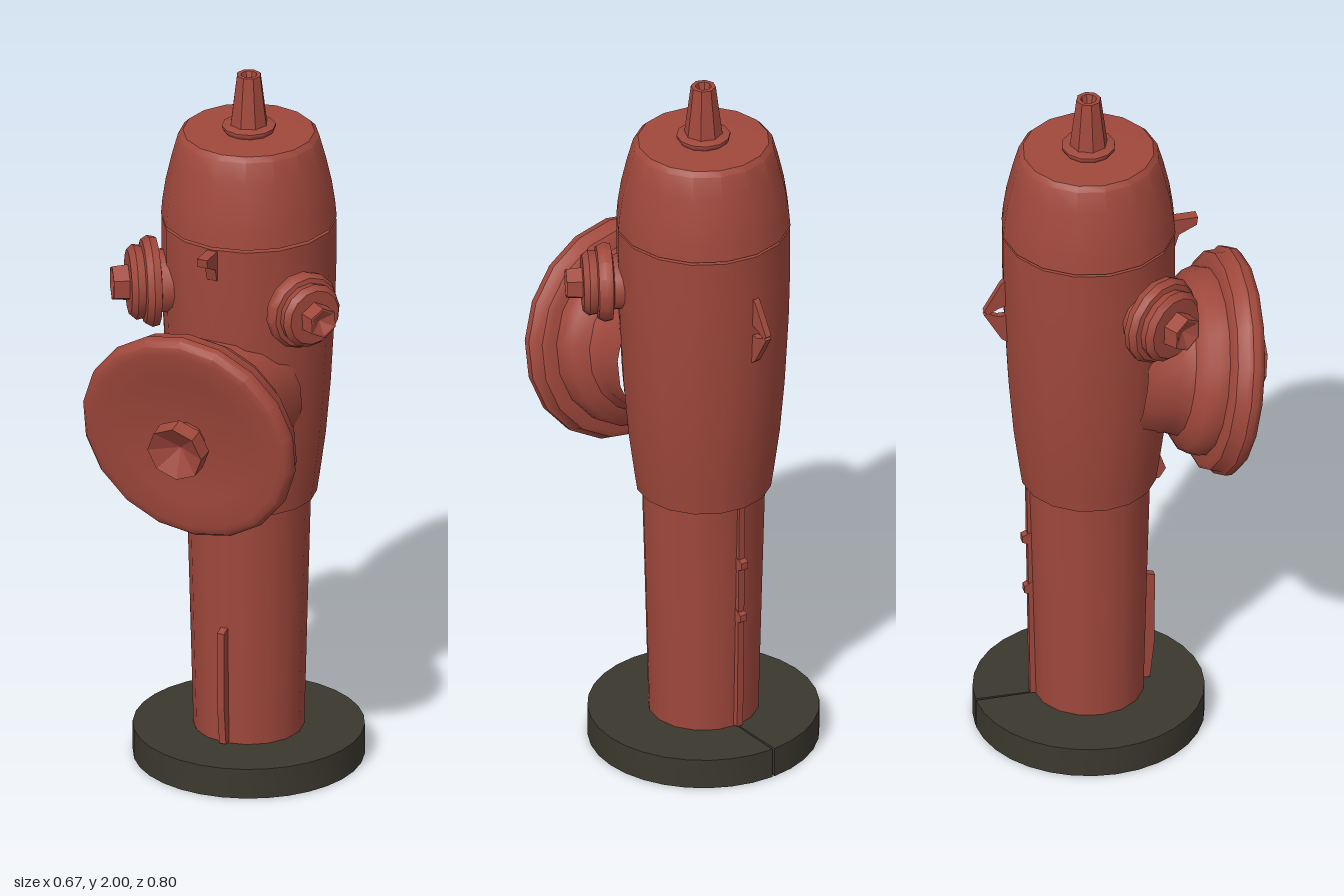
import * as THREE from 'three';
import { toCreasedNormals } from 'three/addons/utils/BufferGeometryUtils.js';

const AXIS_X = 0.008, AXIS_Z = -0.082;
const red = new THREE.MeshStandardMaterial({ color: 0xa0483c });
red.name = 'hydrant red';
const dark = new THREE.MeshStandardMaterial({ color: 0x3b382e });
dark.name = 'dark base';

// Turned part from [radius, height] pairs, listed from bottom to top
function turned(name, points, sides = 16, crease = 0.6) {
  const g = new THREE.LatheGeometry(points.map(([r, y]) => new THREE.Vector2(r, y)), sides);
  const mesh = new THREE.Mesh(toCreasedNormals(g, crease), red);
  mesh.name = name;
  return mesh;
}

// Thin plate drawn in the z-y plane, centred across x
function fin(name, points, width) {
  const shape = new THREE.Shape(points.map(([z, y]) => new THREE.Vector2(-z, y)));
  const g = new THREE.ExtrudeGeometry(shape, { depth: width, bevelEnabled: false });
  g.translate(0, 0, -width / 2);
  g.rotateY(Math.PI / 2);
  const mesh = new THREE.Mesh(g, red);
  mesh.name = name;
  mesh.position.x = AXIS_X;
  return mesh;
}

// Aim a part's own y axis along a direction
function aim(object, x, y, z) {
  object.quaternion.setFromUnitVectors(new THREE.Vector3(0, 1, 0), new THREE.Vector3(x, y, z).normalize());
  return object;
}

// Half of the base ring; the two halves almost meet at the back
function baseHalf(side) {
  const a = -Math.PI / 2, b = Math.PI / 2 - 0.012;
  const shape = new THREE.Shape();
  shape.absarc(0, 0, 0.313, a, b, false);
  shape.absarc(0, 0, 0.145, b, a, true);
  const g = new THREE.ExtrudeGeometry(shape, { depth: 0.086, curveSegments: 8, bevelEnabled: false });
  g.rotateX(-Math.PI / 2);
  if (side < 0) {
    // Mirror by moving the vertices, then swap corners to keep faces outward
    const p = g.attributes.position;
    for (let i = 0; i < p.count; i++) p.setX(i, -p.getX(i));
    for (let i = 0; i < p.count; i += 3) {
      const v = new THREE.Vector3().fromBufferAttribute(p, i + 1);
      p.setXYZ(i + 1, p.getX(i + 2), p.getY(i + 2), p.getZ(i + 2));
      p.setXYZ(i + 2, v.x, v.y, v.z);
    }
  }
  const mesh = new THREE.Mesh(toCreasedNormals(g, 0.6), dark);
  mesh.name = side > 0 ? 'leftBaseHalf' : 'rightBaseHalf';
  return mesh;
}

// Side outlet with ridged cap and hollowed nut
function sideOutlet(name, side, size) {
  const outlet = new THREE.Group();
  outlet.name = name;
  const s = size;
  outlet.add(
    turned('outletCap', [
      [0.085 * s, 0.17], [0.08 * s, 0.245], [0.112 * s, 0.25], [0.116 * s, 0.27], [0.106 * s, 0.288],
      [0.092 * s, 0.291], [0.096 * s, 0.312], [0.082 * s, 0.328], [0, 0.33],
    ], 14, 0.7),
    turned('outletNut', [[0.05 * s, 0.325], [0.046 * s, 0.372], [0.04 * s, 0.372], [0, 0.35]], 6, 0.2),
  );
  outlet.position.set(AXIS_X, 1.405, AXIS_Z);
  return aim(outlet, 0.845 * side, 0, 0.535);
}

export function createModel() {
  const model = new THREE.Group();
  model.name = 'hydrant';

  // Everything turned around the upright axis
  const column = new THREE.Group();
  column.name = 'column';
  column.position.set(AXIS_X, 0, AXIS_Z);
  column.add(
    baseHalf(1), baseHalf(-1),
    turned('post', [[0, 0.04], [0.148, 0.04], [0.15, 0.09], [0.159, 0.45], [0.168, 0.78]]),
    turned('barrel', [
      [0.16, 0.765], [0.184, 0.775], [0.192, 0.83], [0.208, 0.95], [0.221, 1.1],
      [0.232, 1.3], [0.236, 1.45], [0.236, 1.577], [0, 1.577],
    ]),
    turned('bonnet', [
      [0, 1.585], [0.237, 1.585], [0.233, 1.63], [0.224, 1.69], [0.208, 1.76],
      [0.191, 1.822], [0.178, 1.835], [0, 1.837],
    ]),
    turned('topFlange', [[0.066, 1.834], [0.073, 1.845], [0.073, 1.852], [0.05, 1.858], [0, 1.858]], 12),
    turned('topSpindle', [[0.053, 1.85], [0.034, 2], [0.022, 2], [0.014, 1.97], [0, 1.97]], 8, 0.3),
  );
  model.add(column);

  // Large front outlet, leaning slightly downward
  const front = new THREE.Group();
  front.name = 'frontOutlet';
  front.add(
    turned('frontNeck', [[0.21, -0.3], [0.195, -0.2], [0.205, -0.165], [0.245, -0.14], [0.258, -0.11], [0.255, -0.07]], 18, 0.7),
    turned('frontCap', [
      [0.2, -0.085], [0.282, -0.085], [0.297, -0.075], [0.302, -0.045], [0.312, -0.035],
      [0.311, -0.015], [0.298, 0], [0.275, 0.004], [0.2, -0.006], [0.12, -0.016], [0, -0.018],
    ], 18, 0.7),
    turned('frontNut', [[0.05, -0.03], [0.05, 0.02], [0.082, 0.025], [0.08, 0.072], [0, 0.03]], 8, 0.2),
  );
  front.position.set(0.006, 1.08, 0.32);
  model.add(aim(front, 0, -0.165, 0.986));

  // Two smaller side outlets
  model.add(sideOutlet('leftOutlet', 1, 0.94), sideOutlet('rightOutlet', -1, 1.08));

  // Lug under the bonnet, chain eye at the back and casting ridges
  model.add(
    fin('frontLug', [[0.1, 1.574], [0.218, 1.574], [0.215, 1.55], [0.165, 1.525], [0.155, 1.49], [0.1, 1.44]], 0.03),
    fin('backEyeTop', [[-0.3, 1.46], [-0.325, 1.44], [-0.374, 1.355], [-0.362, 1.345], [-0.334, 1.36], [-0.3, 1.37]], 0.018),
    fin('backEyeBottom', [[-0.3, 1.335], [-0.334, 1.335], [-0.362, 1.347], [-0.374, 1.345], [-0.325, 1.26], [-0.3, 1.24]], 0.018),
    fin('frontSkirtLug', [[0.05, 0.88], [0.09, 0.88], [0.118, 0.8], [0.1, 0.772], [0.05, 0.765]], 0.12),
    fin('frontRidge', [[0.04, 0.09], [0.086, 0.09], [0.098, 0.2], [0.1, 0.42], [0.04, 0.44]], 0.02),
    fin('backRidge', [[-0.2, 0.09], [-0.246, 0.09], [-0.256, 0.77], [-0.2, 0.77]], 0.02),
    fin('upperBackNub', [[-0.23, 0.57], [-0.268, 0.585], [-0.268, 0.605], [-0.23, 0.62]], 0.022),
    fin('lowerBackNub', [[-0.23, 0.41], [-0.262, 0.42], [-0.262, 0.44], [-0.23, 0.46]], 0.022),
  );
  return model;
}
